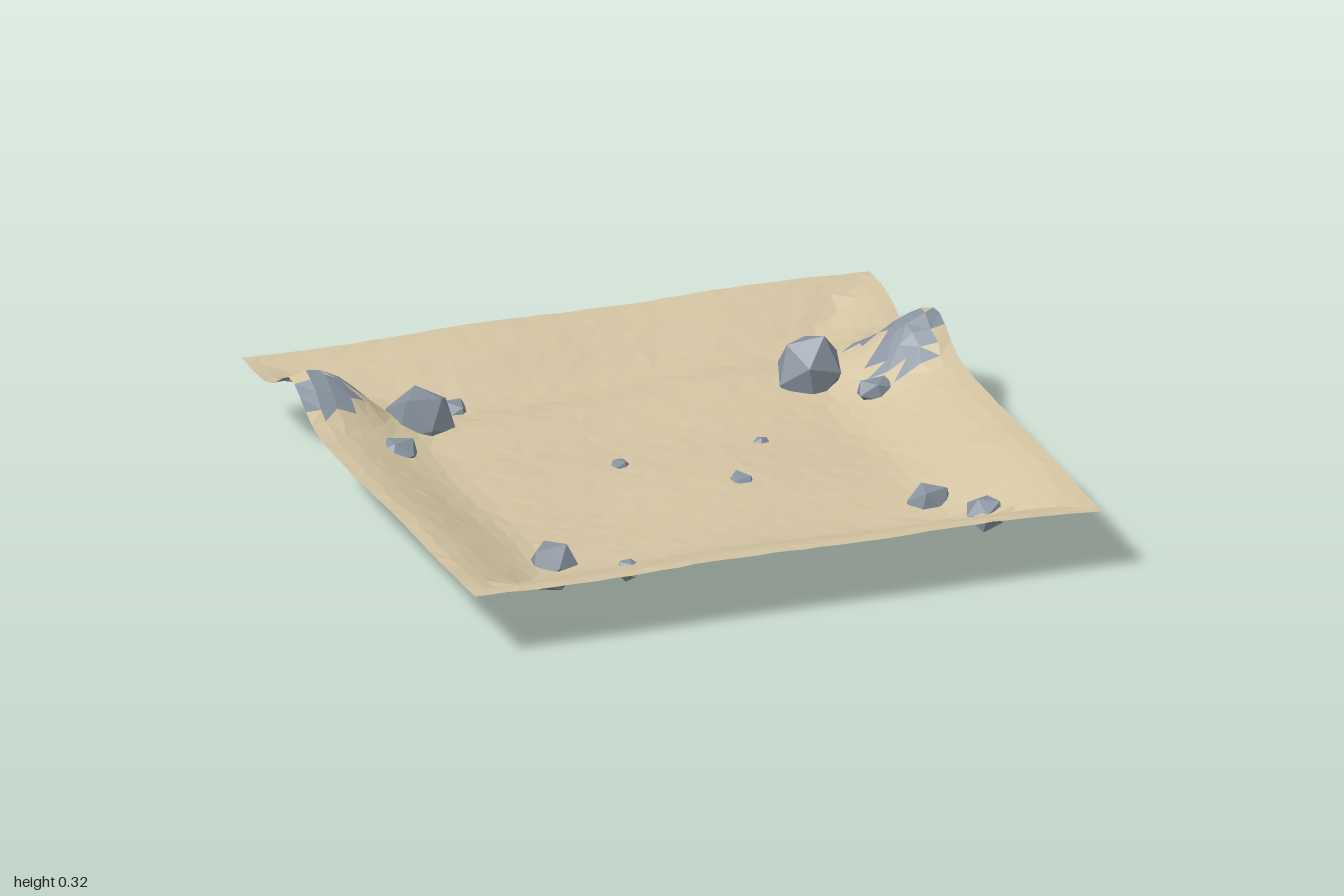
import * as THREE from 'three';

const sand = new THREE.MeshStandardMaterial({ color: 0xd3c4a2, side: THREE.DoubleSide });
sand.name = 'sand';
const stone = new THREE.MeshStandardMaterial({ color: 0x88939f, side: THREE.DoubleSide });
stone.name = 'stone';

// Repeatable noise in 0..1 from two numbers
const hash = (a, b) => {
  const s = Math.sin(a * 127.1 + b * 311.7) * 43758.5453;
  return s - Math.floor(s);
};
const bump = (d, width) => Math.exp(-(d * d) / (2 * width * width));

// Ground height: shallow basin, raised rim, two hills, a low ridge and a notch
function groundHeight(x, z) {
  const inset = Math.min(1 - Math.abs(x), 1 - Math.abs(z));
  const rim = 1 - THREE.MathUtils.smoothstep(inset, 0, 0.4);
  let y = 0.1 + 0.112 * rim;
  y += 0.132 * bump(x + 0.9, 0.14) * bump(z + 0.58, 0.1);
  y += 0.115 * bump(x - 0.95, 0.12) * bump(z + 0.42, 0.095);
  y -= 0.06 * bump(x - 1, 0.12) * bump(z + 0.68, 0.08);
  const crest = -0.46 - 0.1 * THREE.MathUtils.smoothstep(x, -0.3, 0.4);
  y += 0.028 * bump(z - crest, 0.09) * (1 - rim);
  y += 0.012 * bump(x, 0.5) * rim;
  y += 0.004 * Math.sin(7 * x + 3 * z) + 0.003 * Math.sin(9 * z - 4 * x + 1);
  return y + 0.003 * (hash(x, z) - 0.5);
}

// Bare rock patches on the hills: [x, z, half width, half depth]
const patches = [
  [-0.86, -0.64, 0.1, 0.09], [-0.92, -0.5, 0.09, 0.08],
  [0.89, -0.37, 0.12, 0.11], [0.86, -0.55, 0.09, 0.06],
];
const isBare = (x, z) => patches.some(([px, pz, w, d]) =>
  Math.hypot((x - px) / w, (z - pz) / d) < 0.7 + 0.5 * hash(x * 3, z * 5));

function makeGround() {
  const n = 40, step = 2 / n;
  const point = (i, j) => {
    const inside = i > 0 && j > 0 && i < n && j < n;
    const k = inside ? step * 0.45 : 0;
    const x = -1 + i * step + k * (hash(i, j) - 0.5);
    const z = -1 + j * step + k * (hash(j + 50, i) - 0.5);
    return [x, groundHeight(x, z), z];
  };
  const faces = [[], []];
  const addFace = (a, b, c) => {
    const x = (a[0] + b[0] + c[0]) / 3, z = (a[2] + b[2] + c[2]) / 3;
    faces[isBare(x, z) ? 1 : 0].push(...a, ...b, ...c);
  };
  for (let i = 0; i < n; i++) {
    for (let j = 0; j < n; j++) {
      const a = point(i, j), b = point(i, j + 1);
      const c = point(i + 1, j + 1), d = point(i + 1, j);
      if (hash(i + 9, j + 4) < 0.5) {
        addFace(a, b, c);
        addFace(a, c, d);
      } else {
        addFace(a, b, d);
        addFace(b, c, d);
      }
    }
  }
  const geo = new THREE.BufferGeometry();
  geo.setAttribute('position', new THREE.Float32BufferAttribute([...faces[0], ...faces[1]], 3));
  geo.addGroup(0, faces[0].length / 3, 0);
  geo.addGroup(faces[0].length / 3, faces[1].length / 3, 1);
  geo.computeVertexNormals();
  const mesh = new THREE.Mesh(geo, [sand, stone]);
  mesh.name = 'ground';
  return mesh;
}

// Faceted boulder: an icosahedron with uneven corners
function makeRock([x, y, z, rx, ry, rz], index) {
  const geo = new THREE.IcosahedronGeometry(1, 0);
  geo.rotateX(0.55).rotateY(index * 1.3);
  const p = geo.attributes.position;
  const v = new THREE.Vector3();
  for (let i = 0; i < p.count; i++) {
    v.fromBufferAttribute(p, i);
    const seed = Math.round(v.x * 50) + Math.round(v.y * 50) * 0.37;
    v.multiplyScalar(0.9 + 0.22 * hash(seed, Math.round(v.z * 50) + index));
    p.setXYZ(i, v.x * rx, v.y * ry, v.z * rz);
  }
  geo.computeVertexNormals();
  const mesh = new THREE.Mesh(geo, stone);
  mesh.name = 'rock' + (index + 1);
  mesh.position.set(x, y, z);
  return mesh;
}

// Rocks: centre x, y, z and radii x, y, z
const rocks = [
  [-0.61, 0.15, -0.52, 0.11, 0.115, 0.11],
  [-0.46, 0.08, -0.65, 0.066, 0.07, 0.072],
  [-0.755, 0.13, -0.325, 0.073, 0.055, 0.07],
  [0.61, 0.165, -0.465, 0.105, 0.115, 0.1],
  [0.755, 0.14, -0.28, 0.072, 0.045, 0.058],
  [0.16, 0.085, 0.155, 0.046, 0.045, 0.046],
  [-0.13, 0.095, -0.095, 0.031, 0.025, 0.031],
  [0.33, 0.09, -0.12, 0.03, 0.027, 0.028],
  [-0.585, 0.085, 0.555, 0.085, 0.078, 0.08],
  [-0.39, 0.095, 0.675, 0.038, 0.036, 0.042],
  [0.635, 0.09, 0.495, 0.078, 0.068, 0.07],
  [0.745, 0.12, 0.685, 0.058, 0.055, 0.068],
];

export function createModel() {
  const model = new THREE.Group();
  model.name = 'rockyGround';
  model.add(makeGround());
  rocks.forEach((rock, i) => model.add(makeRock(rock, i)));
  // Rest the lowest rock on y = 0
  const lowest = new THREE.Box3().setFromObject(model).min.y;
  model.children.forEach((part) => { part.position.y -= lowest; });
  return model;
}
